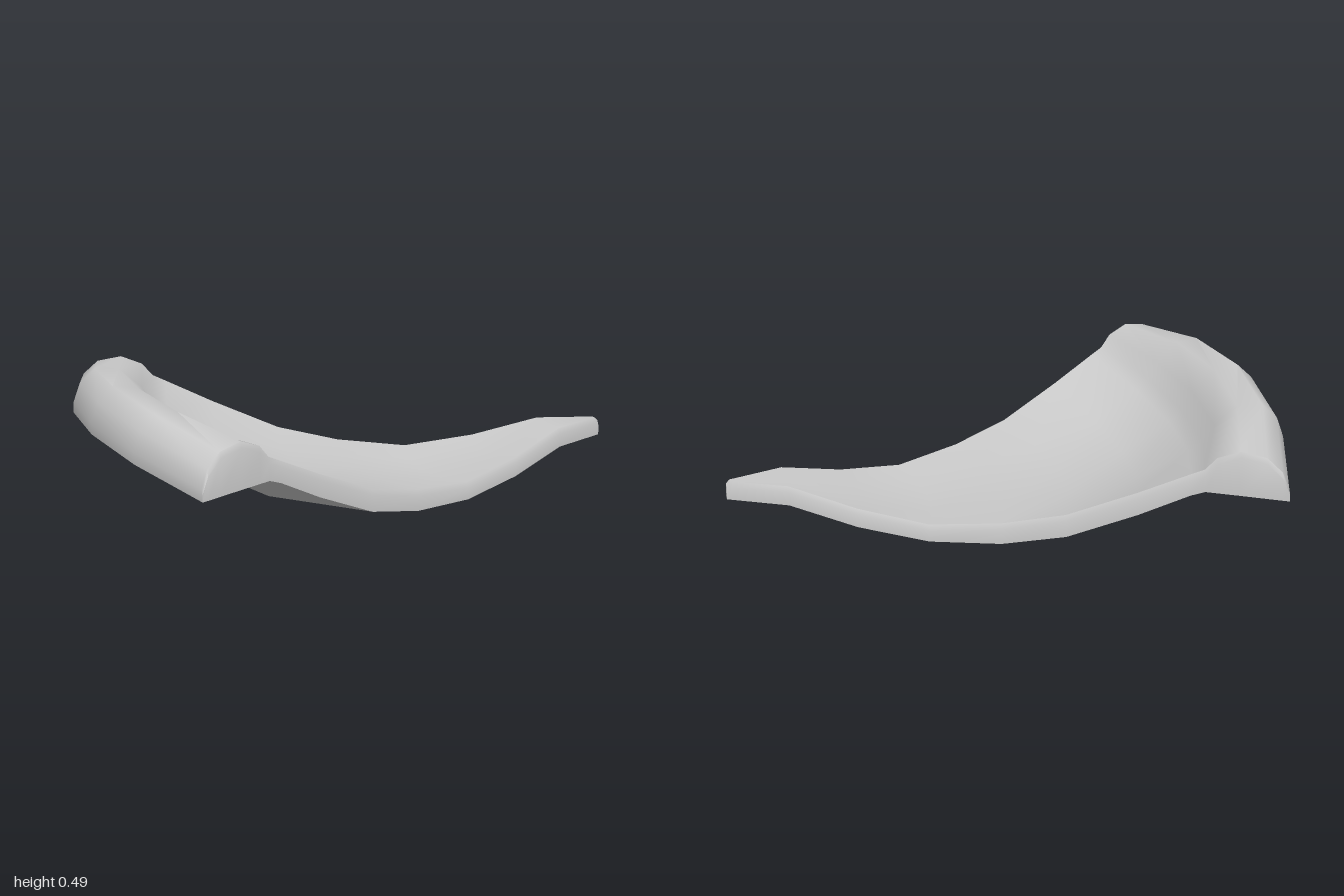
import * as THREE from 'three';
import { toCreasedNormals } from 'three/addons/utils/BufferGeometryUtils.js';

const HALF_ANGLE = Math.PI / 8;
const COLUMNS = 4;

// Stations from the tip to the rim:
// radius, underside at centre, underside at cut edge, thickness at centre, thickness at edge
const STATIONS = [
  [0, 0.137, 0.137, 0.055, 0.055],
  [0.015, 0.137, 0.137, 0.067, 0.067],
  [0.23, 0.128, 0.13, 0.07, 0.07],
  [0.48, 0.04, 0.063, 0.07, 0.068],
  [0.74, 0, 0.026, 0.07, 0.062],
  [1.0, 0.028, 0.036, 0.075, 0.075],
  [1.23, 0.05, 0.08, 0.08, 0.08],
  [1.48, 0.1, 0.182, 0.08, 0.08],
  [1.66, 0.205, 0.268, 0.078, 0.075],
  [1.71, 0.23, 0.285, 0.095, 0.08],
  [1.75, 0.243, 0.283, 0.15, 0.127],
  [1.83, 0.27, 0.279, 0.208, 0.16],
  [1.92, 0.3, 0.274, 0.191, 0.147],
  [1.975, 0.317, 0.271, 0.122, 0.1],
  [2.0, 0.325, 0.27, 0.04, 0.04],
];

// One closed cross-section: underside, bevelled cut edge, top, bevelled cut edge
function section([r, yMid, yEdge, hMid, hEdge]) {
  const point = (t, level) => {
    const angle = t * HALF_ANGLE;
    const base = yMid + (yEdge - yMid) * t * t;
    const h = hMid + (hEdge - hMid) * t * t;
    const inset = level === 'top' ? 0.01 * t : 0;
    const rise = { bottom: 0, side: h - Math.min(0.02, h * 0.4), top: h }[level];
    return [1 - r * Math.cos(angle), base + rise, r * Math.sin(angle) + 0.014 * t - inset];
  };
  const ts = Array.from({ length: COLUMNS + 1 }, (_, i) => -1 + (2 * i) / COLUMNS);
  return [
    ...ts.map((t) => point(t, 'bottom')),
    point(1, 'side'),
    ...ts.slice().reverse().map((t) => point(t, 'top')),
    point(-1, 'side'),
  ];
}

function sliceGeometry() {
  const rings = STATIONS.map(section);
  const n = rings[0].length;
  const index = [];

  // Skin between neighbouring sections
  for (let i = 0; i < rings.length - 1; i++) {
    for (let j = 0; j < n; j++) {
      const k = (j + 1) % n;
      const a = i * n + j, b = i * n + k, c = (i + 1) * n + j, d = (i + 1) * n + k;
      index.push(a, b, c, b, d, c);
    }
  }

  // Caps at the tip and the rim
  const cap = (start, flip) => {
    const tri = (a, b, c) => index.push(start + a, start + (flip ? c : b), start + (flip ? b : c));
    const last = n - 2;
    for (let j = 0; j < COLUMNS; j++) {
      tri(j, j + 1, last - j);
      tri(j + 1, last - j - 1, last - j);
    }
    tri(COLUMNS, COLUMNS + 1, COLUMNS + 2);
    tri(0, last, n - 1);
  };
  cap(0, true);
  cap((rings.length - 1) * n, false);

  const geometry = new THREE.BufferGeometry();
  geometry.setAttribute('position', new THREE.Float32BufferAttribute(rings.flat(2), 3));
  geometry.setIndex(index);
  return toCreasedNormals(geometry, THREE.MathUtils.degToRad(50));
}

export function createModel() {
  const group = new THREE.Group();
  group.name = 'pizzaSlice';

  // Sagging wedge with the raised crust along its rim
  const slice = new THREE.Mesh(sliceGeometry(), new THREE.MeshStandardMaterial({ color: 0xcccccc }));
  slice.name = 'sliceWithCrust';
  group.add(slice);
  return group;
}
